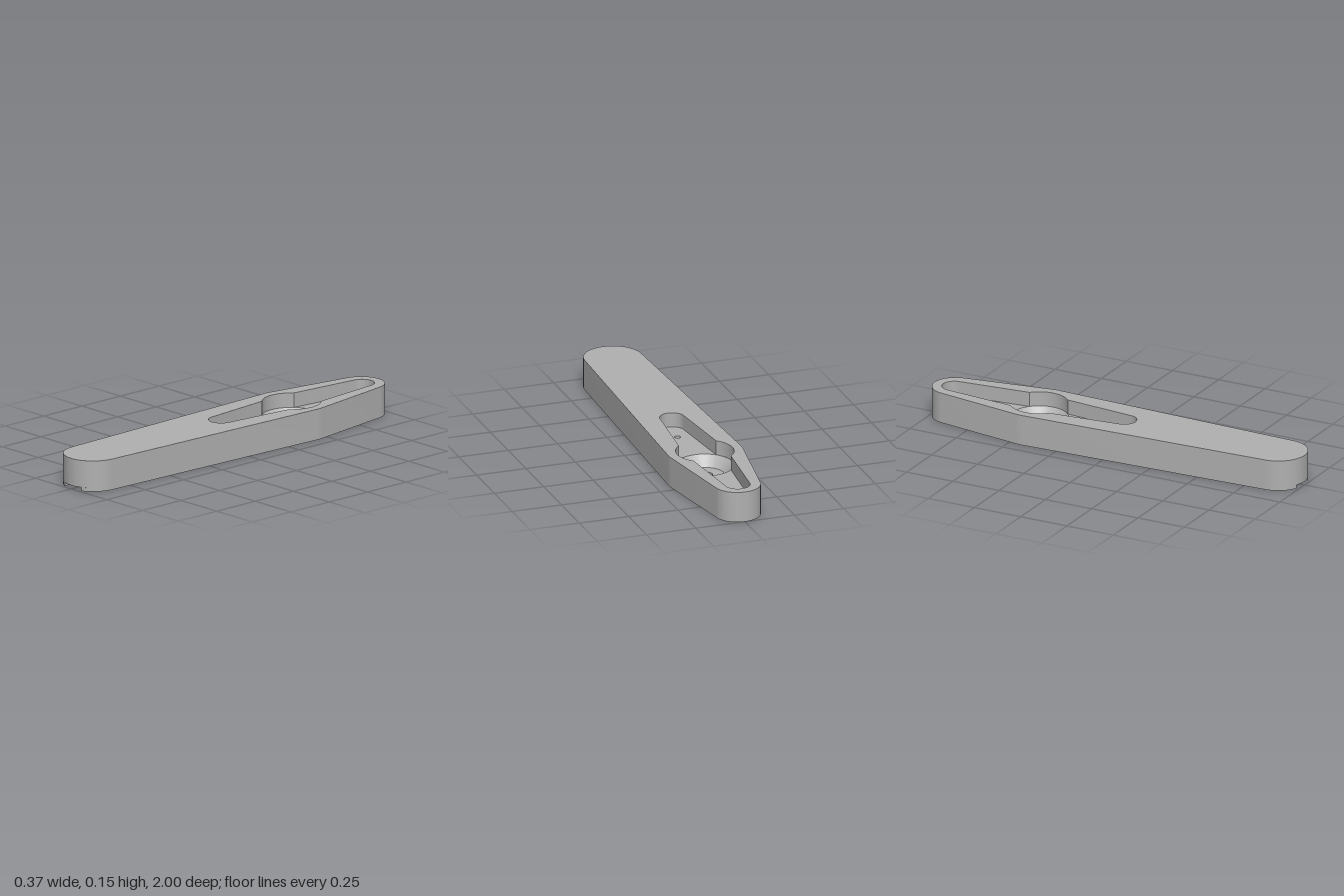
import * as THREE from 'three';
import { toCreasedNormals } from 'three/addons/utils/BufferGeometryUtils.js';

const PI = Math.PI;
const H = 0.152, FLOOR = 0.08, SEAT = 0.03;      // top, pocket floor, hub seat heights
const HUB = -0.434;                               // z of the pivot
const NOTCH_H = 0.018, NOTCH_X = 0.058, NOTCH_Z = 0.9;

// Points [x, z] along an arc centred on x = 0
function arc(cz, r, a0, a1) {
  const n = Math.max(2, Math.ceil(Math.abs(a1 - a0) / 0.08));
  return Array.from({ length: n + 1 }, (_, i) => {
    const a = a0 + (a1 - a0) * i / n;
    return [r * Math.cos(a), cz + r * Math.sin(a)];
  });
}

// Vertical wall around a closed outline, facing outward, or inward if asked
function wall(points, y0, y1, inward = false) {
  const pts = inward ? [...points].reverse() : points;
  const v = [];
  pts.forEach(([px, pz], i) => {
    const [qx, qz] = pts[(i + 1) % pts.length];
    if (Math.hypot(qx - px, qz - pz) < 1e-6) return;
    v.push(px, y0, pz, px, y1, pz, qx, y1, qz, px, y0, pz, qx, y1, qz, qx, y0, qz);
  });
  const g = new THREE.BufferGeometry();
  g.setAttribute('position', new THREE.Float32BufferAttribute(v, 3));
  return toCreasedNormals(g, 0.4);
}

// Flat horizontal face with holes, facing up or down
function face(points, y, up, holes = []) {
  const s = up ? -1 : 1;
  const toV = (list) => list
    .filter((p, i) => {
      const q = list[(i + 1) % list.length];
      return Math.hypot(p[0] - q[0], p[1] - q[1]) > 1e-6;
    })
    .map(([x, z]) => new THREE.Vector2(x, s * z));
  const shape = new THREE.Shape(toV(points));
  holes.forEach((h) => shape.holes.push(new THREE.Path(toV(h))));
  return new THREE.ShapeGeometry(shape).rotateX(s * PI / 2).translate(0, y, 0);
}

// Turned recess; the profile runs from the top down
function recess(profile, z) {
  const g = new THREE.LatheGeometry(profile.map(([r, y]) => new THREE.Vector2(r, y)), 64);
  return toCreasedNormals(g.toNonIndexed(), 0.4).translate(0, 0, z);
}

export function createModel() {
  const group = new THREE.Group();
  const grey = new THREE.MeshStandardMaterial({ color: 0xb0b0b0 });
  grey.name = 'grey';
  const add = (name, geometry) => {
    const m = new THREE.Mesh(geometry, grey);
    m.name = name;
    group.add(m);
  };

  // Arm outline: three circles joined by tangents
  const hubR = 0.185, frontR = 0.142, backR = 0.113;
  const frontZ = 1 - frontR, backZ = -1 + backR;
  const aF = Math.asin((hubR - frontR) / (frontZ - HUB));
  const aB = Math.asin((hubR - backR) / (HUB - backZ));
  const rear = [
    ...arc(HUB, hubR, PI - aF, PI + aB),
    ...arc(backZ, backR, PI + aB, 2 * PI - aB),
    ...arc(HUB, hubR, -aB, aF),
  ];
  const outline = [...arc(frontZ, frontR, aF, PI - aF), ...rear];

  // Foot outline with the notch in its front end
  const nA = Math.asin(NOTCH_X / frontR);
  const foot = [
    ...arc(frontZ, frontR, PI / 2 + nA, PI - aF),
    ...rear,
    ...arc(frontZ, frontR, aF, PI / 2 - nA),
    [NOTCH_X, NOTCH_Z], [-NOTCH_X, NOTCH_Z],
  ];
  const notch = [
    ...arc(frontZ, frontR, PI / 2 - nA, PI / 2 + nA),
    [-NOTCH_X, NOTCH_Z], [NOTCH_X, NOTCH_Z],
  ];

  // Pocket outline: two tapered lobes crossing a round hub
  const lobeR = 0.06, reach = 0.459, wideR = 0.104, cupR = 0.14;
  const a = Math.asin((wideR - lobeR) / reach);
  const t = a + Math.acos(wideR / cupR);
  const frontTip = arc(HUB + reach, lobeR, a, PI - a);
  const backTip = arc(HUB - reach, lobeR, PI + a, 2 * PI - a);
  const pocket = [
    ...frontTip, ...arc(HUB, cupR, PI - t, PI + t),
    ...backTip, ...arc(HUB, cupR, -t, t),
  ];

  const boreR = 0.037, pinR = 0.015, pinReach = 0.384;
  const circle = (z, r) => arc(z, r, 0, 2 * PI);

  // Arm body
  add('armSide', wall(outline, NOTCH_H, H));
  add('footSide', wall(foot, 0, NOTCH_H));
  add('armTop', face(outline, H, true, [pocket]));
  add('armBottom', face(foot, 0, false, [circle(HUB, boreR)]));
  add('notchCeiling', face(notch, NOTCH_H, false));

  // Pocket
  add('pocketWall', wall(pocket, FLOOR, H, true));
  add('frontPocketFloor', face([...frontTip, ...arc(HUB, cupR, PI - t, t)], FLOOR, true,
    [circle(HUB + pinReach, pinR)]));
  add('backPocketFloor', face([...backTip, ...arc(HUB, cupR, -t, t - PI)], FLOOR, true,
    [circle(HUB - pinReach, pinR)]));

  // Conical hub seat with through bore, and blind pin holes
  add('hubSeat', recess([[cupR, FLOOR], [0.093, SEAT], [boreR, SEAT], [boreR, 0]], HUB));
  for (const s of [1, -1]) {
    add(s > 0 ? 'frontPinHole' : 'backPinHole',
      recess([[pinR, FLOOR], [pinR, SEAT], [0, SEAT]], HUB + s * pinReach));
  }
  return group;
}
